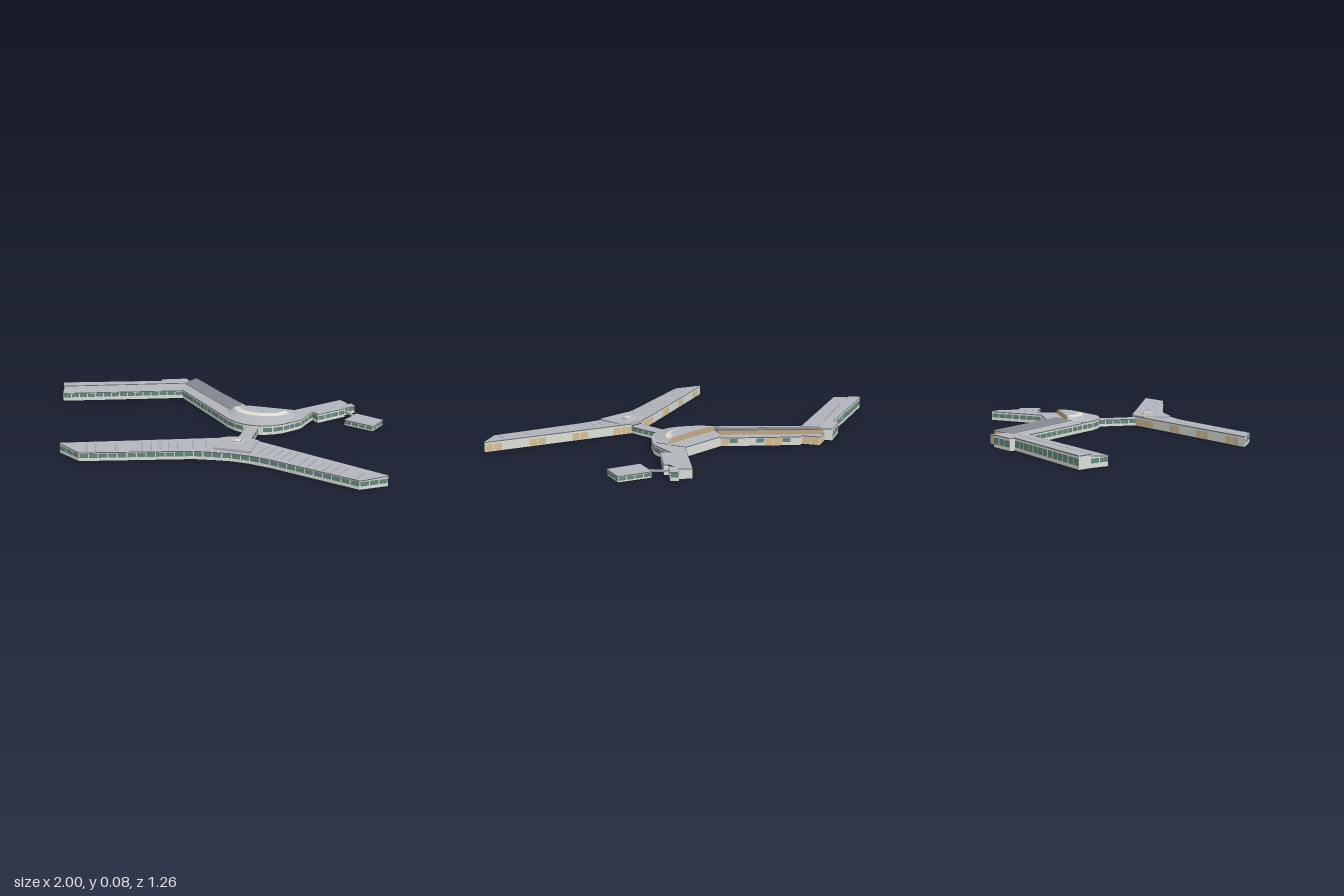
import * as THREE from 'three';

const mat = (name, color, double = true) => {
  const m = new THREE.MeshStandardMaterial({ color, side: double ? THREE.DoubleSide : THREE.FrontSide });
  m.name = name;
  return m;
};

export function createModel() {
  const model = new THREE.Group();
  model.name = 'buildingComplex';
  const M = {
    roof: mat('roofGrey', 0xb2b5bb, false),
    slate: mat('slateRoof', 0x82878f, false),
    wall: mat('paleWall', 0xdcdfd8),
    glass: mat('greenGlass', 0x64897c),
    tan: mat('tanPanel', 0xd8bf92),
    brown: mat('brownCladding', 0xc2a985),
    trim: mat('darkTrim', 0x666a70),
    ceiling: mat('ceilingDark', 0x848484, false),
    light: mat('rooflight', 0xdfdccf, false),
  };

  // Mesh from a list of triangles, flat shaded
  function mesh(parent, name, tris, material) {
    if (!tris.length) return;
    const g = new THREE.BufferGeometry();
    g.setAttribute('position', new THREE.Float32BufferAttribute(tris.flat(2), 3));
    g.computeVertexNormals();
    const m = new THREE.Mesh(g, material);
    m.name = name;
    parent.add(m);
  }
  const quad = (list, a, b, c, d) => list.push([a, b, c], [a, c, d]);

  // Open-bottomed block over a footprint of [x, z, y] points.
  // Edge styles: w windows, t tan panels, m mixed, b brown, p plain, g roof grey, l light, '.' none
  const faces = { b: 'brown', g: 'roof', l: 'light' };
  function block(name, pts, styles, { height, base = 0, roof = M.roof, sill = 0.016, head = 0.038 } = {}) {
    const group = new THREE.Group();
    group.name = name;
    model.add(group);
    const P = pts.map(([x, z, y]) => [x, height === undefined ? y : typeof height === 'function' ? height(x, z) : height, z]);
    const flat = P.map(p => new THREE.Vector2(p[0], p[2]));
    const sign = Math.sign(THREE.ShapeUtils.area(flat));
    const top = [], under = [], parts = { wall: [], glass: [], tan: [], brown: [], trim: [], roof: [], light: [] };

    for (const [i, j, k] of THREE.ShapeUtils.triangulateShape(flat, [])) {
      const area = (flat[j].x - flat[i].x) * (flat[k].y - flat[i].y) - (flat[j].y - flat[i].y) * (flat[k].x - flat[i].x);
      const t = area < 0 ? [P[i], P[j], P[k]] : [P[i], P[k], P[j]];
      top.push(t);
      under.push([t[0], t[2], t[1]].map(([x, y, z]) => [x, y - 0.003, z]));
    }

    P.forEach((p, i) => {
      const style = styles[i] ?? styles[styles.length - 1];
      if (style === '.') return;
      // Order each edge left to right as seen from outside
      const q = P[(i + 1) % P.length];
      const [a, b] = sign > 0 ? [q, p] : [p, q];
      const len = Math.hypot(b[0] - a[0], b[2] - a[2]);
      const nx = -(b[2] - a[2]) / len, nz = (b[0] - a[0]) / len;
      const at = (t, y, off) => [a[0] + (b[0] - a[0]) * t + nx * off, y, a[2] + (b[2] - a[2]) * t + nz * off];
      const panel = (list, t0, t1, y0, y1) =>
        quad(list, at(t0, y0, 0.0015), at(t1, y0, 0.0015), at(t1, y1, 0.0015), at(t0, y1, 0.0015));
      quad(parts[faces[style] ?? 'wall'], at(0, base, 0), at(1, base, 0), at(1, b[1], 0), at(0, a[1], 0));
      if ('gl'.includes(style)) return;
      // Eaves fascia
      quad(parts.trim, at(0, a[1] - 0.005, 0.002), at(1, b[1] - 0.005, 0.002), at(1, b[1], 0.002), at(0, a[1], 0.002));
      if (!'wtm'.includes(style)) return;
      const n = Math.max(1, Math.round(len / 0.046));
      for (let k = 0; k < n; k++) {
        const t0 = (k + 0.06) / n, t1 = (k + 0.94) / n;
        if (style === 'w' || (style === 'm' && k % 3 === 1)) panel(parts.glass, t0, t1, sill, head);
        else if (k % 5 < 2) panel(parts.tan, t0, t1, 0.003, 0.038);
      }
    });
    mesh(group, name + 'Roof', top, roof);
    mesh(group, name + 'Ceiling', under, M.ceiling);
    for (const k in parts) mesh(group, `${name} ${k} sides`, parts[k], M[k]);
  }

  // South building: bent bar whose roof falls away from its north edge
  const north = x => Math.max(0.218, 0.245 + 0.409 * (0.139 - x), 0.239 + 0.375 * (x - 0.326));
  const southY = (x, z) => 0.052 - 0.05 * (z - north(x));
  block('southWestWing', [[-0.608, 0.55], [0.139, 0.245], [0.139, 0.422], [0.05, 0.437], [-0.472, 0.626]], 't.www', { height: southY });
  block('southEastWing', [[0.326, 0.239], [0.998, 0.491], [0.882, 0.572], [0.43, 0.437], [0.326, 0.416]], 'twww.', { height: southY });
  block('southEntrance', [[0.139, 0.245], [0.203, 0.218], [0.272, 0.218], [0.326, 0.239], [0.326, 0.416], [0.235, 0.411], [0.139, 0.422]],
    't.t.ww.', { height: southY });
  block('raisedEntranceRoof', [[0.136, 0.247], [0.203, 0.219], [0.272, 0.219], [0.326, 0.24], [0.326, 0.395], [0.136, 0.395]],
    'g', { height: 0.057, base: 0.04 });
  const square = (x, z, r) => [[x - r, z - r], [x + r, z - r], [x + r, z + r], [x - r, z + r]];
  block('skylightKerb', square(0.23, 0.29, 0.026), 'l', { height: 0.062, base: 0.055, roof: M.light });
  block('skylightFrame', square(0.23, 0.29, 0.02), 'g', { height: 0.064, base: 0.06, roof: M.trim });
  block('skylightTop', square(0.23, 0.29, 0.016), 'l', { height: 0.066, base: 0.06, roof: M.light });

  // Dotted rows of small rooflights across both south wings
  const dots = [];
  function dotRow(x, dir, s) {
    const slope = dir > 0 ? 0.375 : -0.409;
    for (let k = 0; k < 7; k++) {
      const d = 0.035 + k * 0.013, cx = x - slope * d * 0.9, cz = north(x) + d;
      const c = [[-s, -s], [-s, s], [s, s], [s, -s]].map(([u, v]) =>
        [cx + u, southY(cx + u, cz + v) + 0.0012, cz + v]);
      quad(dots, ...c);
    }
  }
  for (const x of [0.40, 0.44, 0.48, 0.52, 0.56, 0.62, 0.66, 0.70, 0.74, 0.78, 0.82, 0.90]) dotRow(x, 1, 0.0035);
  for (const x of [-0.48, -0.44, -0.35, -0.23, -0.19, -0.15, -0.11, -0.07, 0, 0.06]) dotRow(x, -1, 0.0035);
  mesh(model, 'roofDots', dots, M.slate);

  // Link corridor
  block('corridor', [[0.203, 0.005], [0.262, 0.005], [0.27, 0.219], [0.203, 0.219]], '.w.w', { height: 0.037, sill: 0.013, head: 0.032 });

  // Hub base with its curved front
  block('hub', [[0.016, -0.12], [0.1, -0.24], [0.13, -0.28], [0.385, -0.28], [0.43, -0.107], [0.385, -0.05], [0.335, -0.01],
    [0.285, 0.011], [0.235, 0.017], [0.185, 0.011], [0.135, -0.01], [0.08, -0.05]], '..p.wwwppwww', { height: 0.052 });

  // Hub dome: half-elliptical rings cut off by a north wall
  const cx = 0.235, cz = -0.188, N = 20;
  const rings = [[0.18, 0.203, 0.054], [0.153, 0.115, 0.073], [0.124, 0.088, 0.08], [0, 0, 0.081]];
  const ringPoint = ([rx, rz, y], i) => [cx + rx * Math.cos(Math.PI * i / N), y, cz + rz * Math.sin(Math.PI * i / N)];
  const dome = [], arc = [], domeBack = [];
  for (let r = 0; r < 3; r++) {
    for (let i = 0; i < N; i++) {
      const lit = r === 1 && i > 0 && i < N - 1;
      quad(lit ? arc : dome, ringPoint(rings[r], i), ringPoint(rings[r + 1], i),
        ringPoint(rings[r + 1], i + 1), ringPoint(rings[r], i + 1));
    }
    for (const i of [0, N]) {
      const a = ringPoint(rings[r], i), b = ringPoint(rings[r + 1], i);
      quad(domeBack, [a[0], 0.045, cz], [b[0], 0.045, cz], b, a);
    }
  }
  mesh(model, 'domeRoof', dome, M.roof);
  mesh(model, 'domeRooflight', arc, M.light);
  mesh(model, 'domeBackWall', domeBack, M.brown);

  // East wing with its end bay, thin link and detached pavilion
  block('eastWing', [[0.385, -0.28], [0.595, -0.53], [0.64, -0.485], [0.63, -0.415], [0.645, -0.4], [0.525, -0.257],
    [0.487, -0.294], [0.455, -0.145], [0.43, -0.107]], 'wp.pwwww.', { height: 0.05 });
  block('eastBay', [[0.615, -0.46], [0.66, -0.51], [0.685, -0.48], [0.63, -0.415]], 'pww.', { height: 0.042 });
  block('pavilionLink', [[0.632, -0.425], [0.64, -0.432], [0.705, -0.36], [0.695, -0.35]], 'p', { height: 0.028, base: 0.02 });
  block('pavilion', [[0.71, -0.385], [0.86, -0.325], [0.825, -0.214], [0.668, -0.267]], 'w', { height: 0.03, sill: 0.007, head: 0.023 });

  // Diagonal wing: low south roof, raised slate clerestory, low north rooms
  block('diagonalSouthAisle', [[-0.325, -0.545, 0.058], [0.06, -0.17, 0.058], [0.016, -0.12, 0.05], [-0.305, -0.45, 0.05]], '..w.');
  block('diagonalClerestory', [[-0.325, -0.545, 0.06], [-0.275, -0.615, 0.073], [0.1, -0.24, 0.073], [0.06, -0.17, 0.06]],
    'bbbp', { base: 0.04, roof: M.slate });
  block('diagonalNorthRooms', [[-0.305, -0.6], [-0.225, -0.63], [-0.187, -0.55], [-0.16, -0.555], [0.13, -0.28], [0.1, -0.24], [-0.275, -0.615]],
    'ttpm...', { height: 0.045 });

  // West wing: sloping south roof against a taller flat north strip
  block('westSouthAisle', [[-0.97, -0.285, 0.056], [-0.325, -0.545, 0.056], [-0.305, -0.45, 0.047], [-0.94, -0.2, 0.047]], '.pww',
    { sill: 0.02, head: 0.041 });
  block('westNorthStrip', [[-1, -0.34], [-0.46, -0.54], [-0.475, -0.565], [-0.34, -0.625], [-0.3, -0.575], [-0.325, -0.545], [-0.97, -0.285]],
    'wpwppp', { height: 0.062, sill: 0.016, head: 0.048 });

  return model;
}
